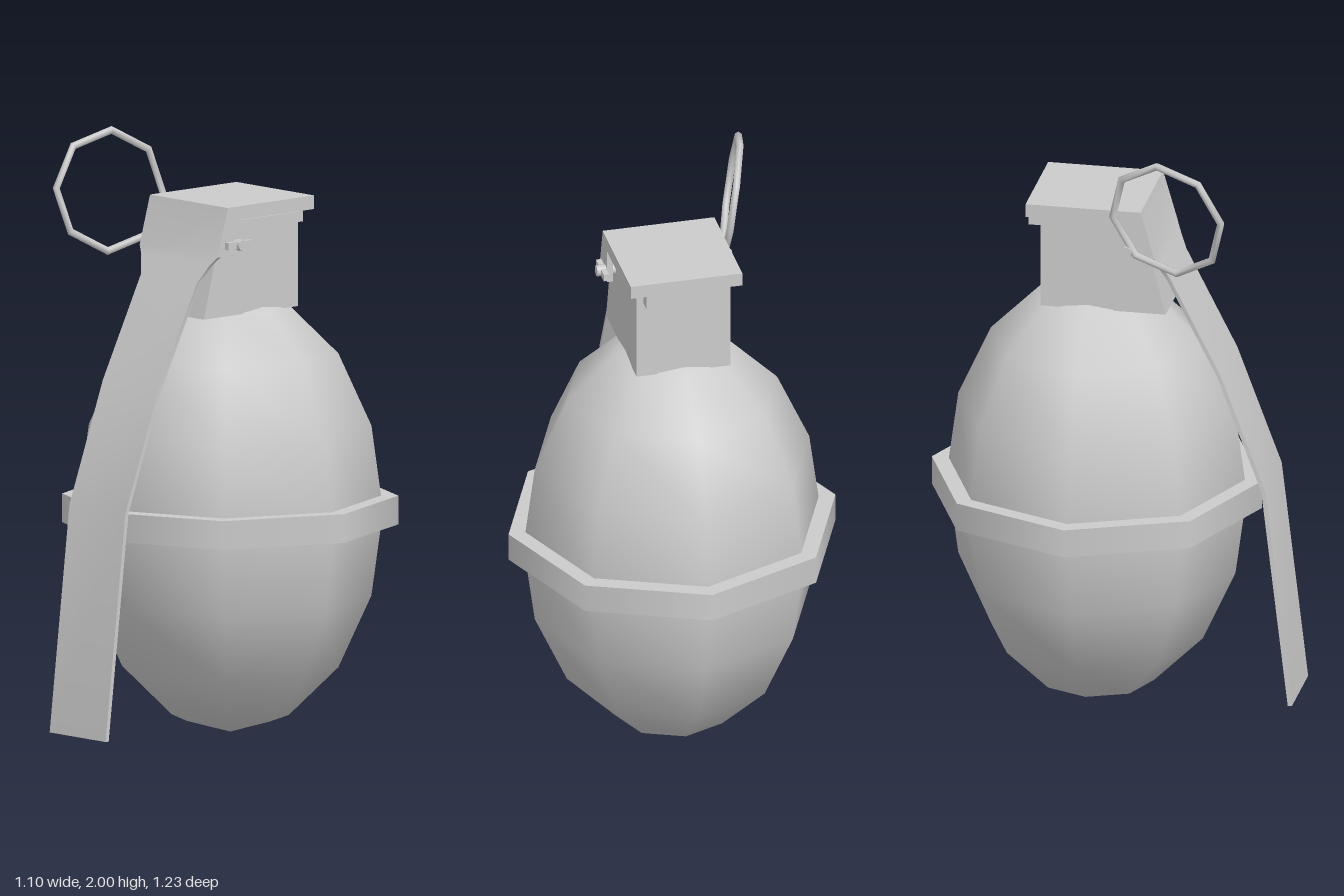
import * as THREE from 'three';
import { toCreasedNormals } from 'three/addons/utils/BufferGeometryUtils.js';

const AXIS_Z = -0.065; // body axis
const grey = new THREE.MeshStandardMaterial({ color: 0xcccccc });

function add(group, name, geometry, x = 0, y = 0, z = 0) {
  const mesh = new THREE.Mesh(geometry, grey);
  mesh.name = name;
  mesh.position.set(x, y, z);
  group.add(mesh);
  return mesh;
}

// Side outline given as [z, y] points, extruded across x
function sideExtrude(points, width) {
  const shape = new THREE.Shape(points.map(([z, y]) => new THREE.Vector2(z, y)));
  return new THREE.ExtrudeGeometry(shape, { depth: width, bevelEnabled: false })
    .translate(0, 0, -width / 2)
    .rotateY(-Math.PI / 2);
}

// Bent strip through stations [z, y, halfWidth], listed from top to bottom
function stripGeometry(stations, thickness) {
  const positions = [];
  const index = [];
  stations.forEach(([z, y, w], i) => {
    positions.push(w, y, z, -w, y, z, -w, y, z - thickness, w, y, z - thickness);
    if (i === stations.length - 1) return;
    for (let k = 0; k < 4; k++) {
      const a = i * 4 + k, b = i * 4 + (k + 1) % 4;
      index.push(a, b, b + 4, a, b + 4, a + 4);
    }
  });
  const e = (stations.length - 1) * 4;
  index.push(e, e + 1, e + 2, e, e + 2, e + 3, 0, 2, 1, 0, 3, 2);
  const geometry = new THREE.BufferGeometry();
  geometry.setAttribute('position', new THREE.Float32BufferAttribute(positions, 3));
  geometry.setIndex(index);
  return toCreasedNormals(geometry, Math.PI / 6);
}

export function createModel() {
  const model = new THREE.Group();
  model.name = 'grenade';

  // Egg-shaped body and the band around its middle
  const egg = new THREE.SphereGeometry(0.5, 8, 8).scale(1, 1.47, 1);
  add(model, 'body', egg, 0, 0.735, AXIS_Z);
  add(model, 'band', new THREE.CylinderGeometry(0.55, 0.55, 0.095, 8), 0, 0.737, AXIS_Z);

  // Fuse housing with a sloping front
  add(model, 'fuseHousing', sideExtrude(
    [[-0.222, 1.41], [0.196, 1.41], [0.115, 1.722], [-0.222, 1.722]], 0.315));

  // Safety lever: cap, rear lip, side skirts and the long bent strip
  const lever = new THREE.Group();
  lever.name = 'lever';
  model.add(lever);
  add(lever, 'leverCap', sideExtrude(
    [[-0.265, 1.73], [0.13, 1.73], [0.118, 1.775], [-0.265, 1.775]], 0.376));
  add(lever, 'leverRearLip', new THREE.BoxGeometry(0.27, 0.05, 0.04), 0, 1.708, -0.245);
  for (const side of [-1, 1]) {
    add(lever, 'leverSkirt', sideExtrude(
      [[0.058, 1.615], [0.163, 1.615], [0.13, 1.73], [0.058, 1.73]], 0.02), side * 0.178);
  }
  add(lever, 'leverStrip', stripGeometry([
    [0.118, 1.775, 0.188],
    [0.164, 1.615, 0.188],
    [0.178, 1.588, 0.165],
    [0.206, 1.53, 0.135],
    [0.376, 1.196, 0.135],
    [0.524, 0.8, 0.135],
    [0.612, 0.055, 0.135],
  ], 0.014));

  // Safety pin with its split end
  const pin = new THREE.CylinderGeometry(0.019, 0.019, 0.455, 8).rotateZ(Math.PI / 2);
  add(model, 'pin', pin, -0.008, 1.65, 0.079);
  add(model, 'pinSplitEnd', new THREE.BoxGeometry(0.018, 0.024, 0.105), 0.198, 1.65, 0.079);

  // Pull ring hanging on the pin, tilted outwards
  const ring = add(model, 'pullRing', new THREE.TorusGeometry(0.198, 0.013, 6, 8), -0.27, 1.79, 0.222);
  ring.quaternion.setFromUnitVectors(
    new THREE.Vector3(0, 0, 1), new THREE.Vector3(1, 0.15, 0.25).normalize());

  return model;
}
